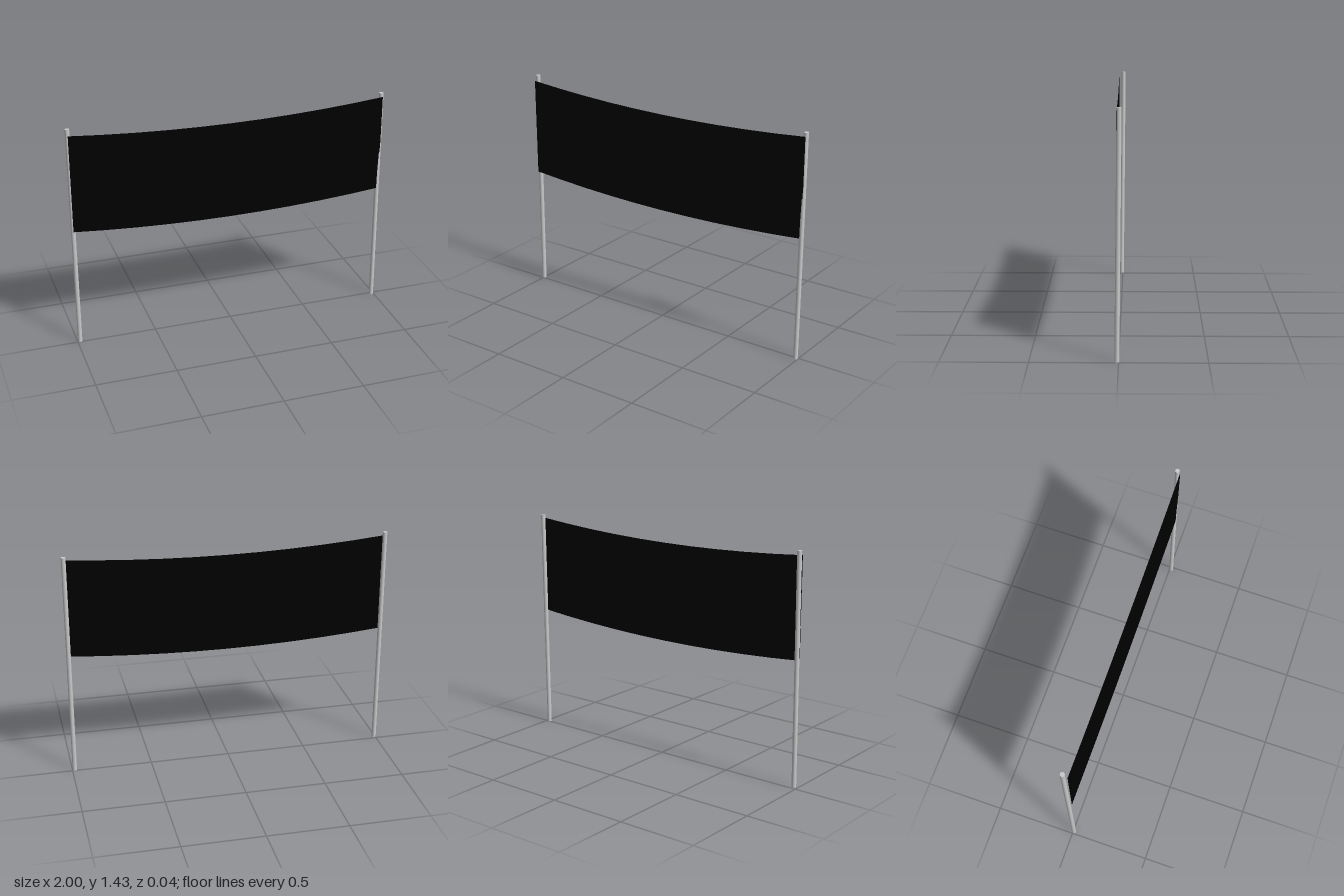
import * as THREE from 'three';

const grey = new THREE.MeshStandardMaterial({ color: 0xcccccc });
const black = new THREE.MeshStandardMaterial({ color: 0x000000, side: THREE.DoubleSide });

// Straight round pole between two points
function pole(name, bottom, top) {
  const axis = top.clone().sub(bottom);
  const mesh = new THREE.Mesh(new THREE.CylinderGeometry(0.014, 0.014, axis.length(), 12), grey);
  mesh.name = name;
  mesh.position.copy(bottom).add(top).multiplyScalar(0.5);
  mesh.quaternion.setFromUnitVectors(new THREE.Vector3(0, 1, 0), axis.normalize());
  return mesh;
}

// Thin cloth sheet hung on the front of the poles, sagging in the middle
function banner() {
  const width = 1.978, height = 0.618, sag = 0.047;
  const geometry = new THREE.PlaneGeometry(width, height, 10, 1);
  const p = geometry.attributes.position;
  for (let i = 0; i < p.count; i++) {
    const t = p.getX(i) / (width / 2);
    p.setY(i, p.getY(i) + 1.089 - sag * (1 - t * t));
    p.setZ(i, 0.019 - 0.005 * t);
  }
  geometry.computeVertexNormals();
  const mesh = new THREE.Mesh(geometry, black);
  mesh.name = 'banner';
  return mesh;
}

export function createModel() {
  const group = new THREE.Group();
  group.name = 'bannerOnPoles';
  // The poles lean back slightly
  group.add(
    pole('leftPole', new THREE.Vector3(0.985, 0, 0.01), new THREE.Vector3(0.985, 1.42, -0.003)),
    pole('rightPole', new THREE.Vector3(-0.986, 0.01, 0.006), new THREE.Vector3(-0.986, 1.43, -0.006)),
    banner()
  );
  return group;
}
